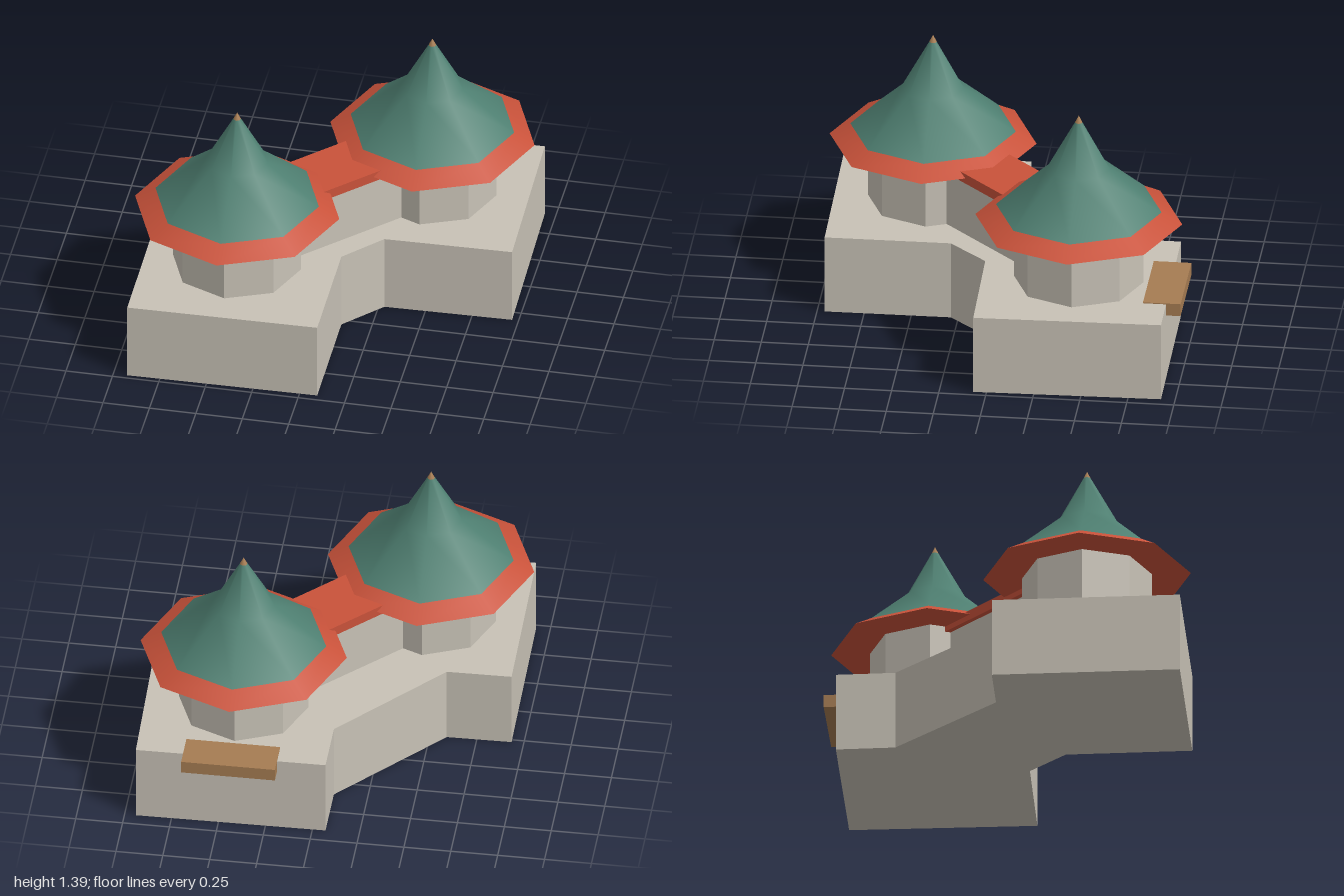
import * as THREE from 'three';

const make = (name, color, opts = {}) => {
  const m = new THREE.MeshStandardMaterial({ color, ...opts });
  m.name = name;
  return m;
};

export function createModel() {
  const model = new THREE.Group();
  model.name = 'twinPavilion';
  const stone = make('stone', 0xc8c2b6, { flatShading: true });
  const red = make('redEaves', 0xc9523a);
  const green = make('greenTiles', 0x4f8072);
  const wood = make('wood', 0xa67c52);

  const add = (parent, name, geometry, material, x = 0, y = 0, z = 0) => {
    const mesh = new THREE.Mesh(geometry, material);
    mesh.name = name;
    mesh.position.set(x, y, z);
    parent.add(mesh);
    return mesh;
  };

  // Stone platform: two squares joined by a diagonal neck, outline as [x, z]
  const outline = [
    [-0.935, -0.02], [-0.59, -0.025], [-0.07, -0.6], [-0.07, -0.915], [0.94, -0.925],
    [0.965, 0.07], [0.28, 0.085], [0.09, 0.29], [0.095, 0.96], [-0.925, 0.975],
  ];
  const shape = new THREE.Shape(outline.map(([x, z]) => new THREE.Vector2(x, -z)));
  const platform = new THREE.ExtrudeGeometry(shape, { depth: 0.435, bevelEnabled: false });
  platform.rotateX(-Math.PI / 2);
  add(model, 'platform', platform, stone);

  // Octagonal towers
  const roofProfile = [[0.44, 0.85], [0.165, 1.09], [0.02, 1.355]]
    .map(([r, y]) => new THREE.Vector2(r, y));
  const addTower = (name, x, z) => {
    const tower = new THREE.Group();
    tower.name = name;
    tower.position.set(x, 0, z);
    add(tower, 'towerWall', new THREE.CylinderGeometry(0.345, 0.345, 0.37, 8), stone, 0, 0.615, 0);
    add(tower, 'eaves', new THREE.CylinderGeometry(0.44, 0.55, 0.065, 8), red, 0, 0.8175, 0);
    add(tower, 'roof', new THREE.LatheGeometry(roofProfile, 8), green);
    add(tower, 'finial', new THREE.ConeGeometry(0.02, 0.04, 8), wood, 0, 1.375, 0);
    model.add(tower);
  };
  addTower('rightTower', -0.44, 0.445);
  addTower('leftTower', 0.435, -0.43);

  // Diagonal passage between the towers
  const passage = new THREE.Group();
  passage.name = 'passage';
  passage.position.set(-0.0025, 0, 0.0075);
  passage.rotation.y = Math.PI / 4;
  add(passage, 'passageWall', new THREE.BoxGeometry(0.7, 0.345, 0.274), stone, 0, 0.6025, 0);
  add(passage, 'passageRoof', new THREE.BoxGeometry(0.69, 0.055, 0.33), red, 0, 0.7825, 0);
  model.add(passage);

  // Wooden landing at the back
  add(model, 'landing', new THREE.BoxGeometry(0.5, 0.07, 0.2), wood, 0.438, 0.405, -0.9);

  return model;
}
